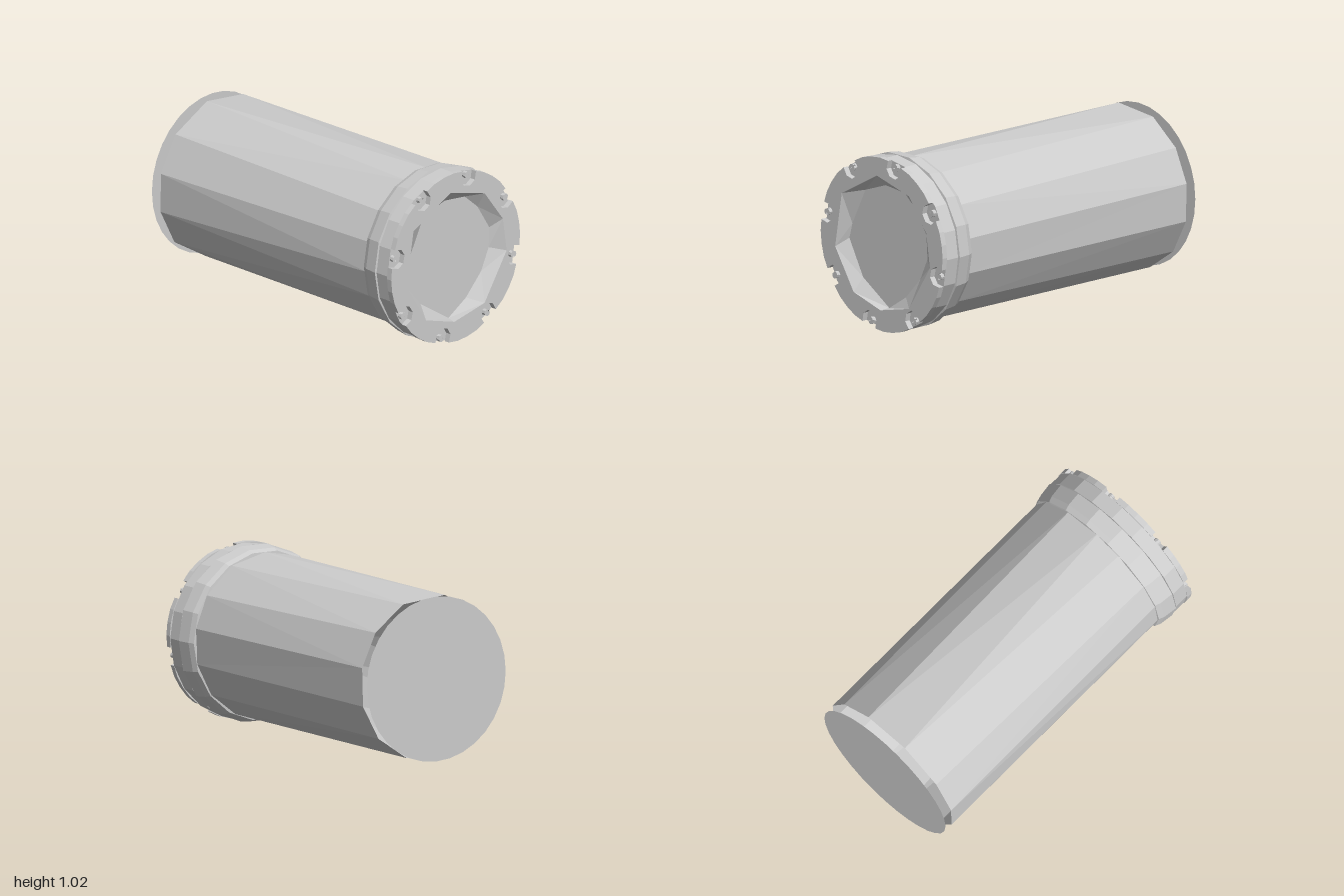
import * as THREE from 'three';

const CY = 0.515; // height of the long axis
const rad = (d) => (d * Math.PI) / 180;

// Angles (degrees from +z towards +y) of the uneven barrel rings
const REAR = [14.5, 43.5, 78, 113, 142, 168, 195, 222, 250, 283, 318, 346.7];
const FORE = [17.6, 40, 69, 90, 118, 146, 170, 195, 220, 245, 270, 306, 336.7, 356.4];

// Front opening and window outlines as [-z, y]
const OPENING = [[-0.04, 0.915], [0.23, 0.845], [0.375, 0.655], [0.405, 0.455], [0.23, 0.18],
  [-0.01, 0.125], [-0.235, 0.19], [-0.39, 0.43], [-0.335, 0.755]];
const WINDOW = [[-0.03, 0.85], [0.13, 0.835], [0.23, 0.75], [0.325, 0.6], [0.32, 0.48], [0.26, 0.35],
  [0.14, 0.22], [0, 0.13], [-0.22, 0.27], [-0.335, 0.48], [-0.31, 0.57], [-0.2, 0.79]];

const toShape = (pts) => new THREE.Shape(pts.map(([a, b]) => new THREE.Vector2(a, b)));
const centred = (pts) => pts.map(([a, y]) => [a, y - CY]);
const ringFromAngles = (list, r) => list.map((d) => [-r * Math.cos(rad(d)), r * Math.sin(rad(d))]);

// Triangle strip joining two rings that may have different point counts
function strip(ringA, xA, ringB, xB) {
  const prep = (ring) => {
    const list = ring.map(([a, y]) => ({ a, y, t: (Math.atan2(y, -a) + 2 * Math.PI) % (2 * Math.PI) }));
    list.sort((p, q) => p.t - q.t);
    return list;
  };
  const A = prep(ringA), B = prep(ringB), pos = [];
  const at = (L, i) => L[i % L.length];
  const angle = (L, i) => at(L, i).t + 2 * Math.PI * Math.floor(i / L.length);
  const put = (p, x) => pos.push(x, p.y, -p.a);
  let i = 0, j = 0;
  while (i < A.length || j < B.length) {
    const stepA = j >= B.length || (i < A.length && angle(A, i + 1) <= angle(B, j + 1));
    put(at(A, i), xA);
    put(at(B, j), xB);
    if (stepA) put(at(A, ++i), xA);
    else put(at(B, ++j), xB);
  }
  const g = new THREE.BufferGeometry();
  g.setAttribute('position', new THREE.Float32BufferAttribute(pos, 3));
  g.computeVertexNormals();
  return g;
}

// Outline of the front plate with eight bolt notches cut into its rim
const BOLT_START = 77.7;
function notchedOutline() {
  const pts = [];
  const notch = [[0.505, -0.055], [0.455, -0.057], [0.421, -0.025], [0.421, 0.025], [0.455, 0.057], [0.505, 0.055]];
  for (let k = 0; k < 8; k++) {
    const a = rad(BOLT_START + k * 45), c = Math.cos(a), s = Math.sin(a);
    for (const [r, t] of notch) pts.push([r * c - t * s, r * s + t * c]);
    for (const d of [14, 22.5, 31]) pts.push([0.512 * Math.cos(a + rad(d)), 0.512 * Math.sin(a + rad(d))]);
  }
  return pts;
}

export function createModel() {
  const group = new THREE.Group();
  group.name = 'canister';
  group.position.y = CY;
  const grey = new THREE.MeshStandardMaterial({ color: 0xcccccc, flatShading: true, side: THREE.DoubleSide });
  grey.name = 'light grey';
  const add = (name, geometry, parent = group) => {
    const m = new THREE.Mesh(geometry, grey);
    m.name = name;
    parent.add(m);
    return m;
  };

  // Barrel, open at the rear, with a separate end disc
  add('barrel', strip(ringFromAngles(REAR, 0.48), -0.94, ringFromAngles(FORE, 0.482), 0.77));
  add('rearDisc', new THREE.CircleGeometry(0.478, 32).rotateY(-Math.PI / 2)).position.x = -1;

  // Chamfered rear band and groove of the collar
  const profile = [[0.47, 0.75], [0.49, 0.752], [0.504, 0.785], [0.515, 0.868], [0.495, 0.872], [0.495, 0.88]];
  const band = new THREE.LatheGeometry(profile.map(([r, y]) => new THREE.Vector2(r, y)), 18);
  add('collarBand', band.rotateZ(-Math.PI / 2));

  // Front flange: plain base, then a notched plate
  const opening = centred(OPENING), windowRing = centred(WINDOW);
  const slab = (outline, x0, x1) => {
    const shape = toShape(outline);
    shape.holes.push(toShape(opening));
    const g = new THREE.ExtrudeGeometry(shape, { depth: x1 - x0, bevelEnabled: false });
    return g.rotateY(Math.PI / 2).translate(x0, 0, 0);
  };
  const round = Array.from({ length: 20 }, (_, i) => [0.508 * Math.cos(rad(i * 18)), 0.508 * Math.sin(rad(i * 18))]);
  add('flangeBase', slab(round, 0.876, 0.965));
  add('flangePlate', slab(notchedOutline(), 0.965, 1));

  // Sloping rim down to the recessed window
  add('windowRim', strip(opening, 1, windowRing, 0.94));
  add('window', new THREE.ShapeGeometry(toShape(windowRing)).rotateY(Math.PI / 2)).position.x = 0.94;

  // Slotted bolts, each of two half heads on a short stem
  for (let k = 0; k < 8; k++) {
    const a = rad(BOLT_START + k * 45);
    const bolt = new THREE.Group();
    bolt.name = 'bolt';
    bolt.position.set(0.965, 0.481 * Math.sin(a), -0.481 * Math.cos(a));
    bolt.rotation.x = k * 0.8;
    const stem = new THREE.CylinderGeometry(0.02, 0.02, 0.012, 8).rotateZ(-Math.PI / 2);
    add('boltStem', stem, bolt).position.x = 0.006;
    for (const side of [0, 1]) {
      const half = new THREE.CylinderGeometry(0.018, 0.018, 0.014, 4, 1, false, side * Math.PI, Math.PI);
      half.translate(side ? -0.004 : 0.004, 0, 0).rotateZ(-Math.PI / 2);
      add('boltHead', half, bolt).position.x = 0.018;
    }
    group.add(bolt);
  }
  return group;
}
